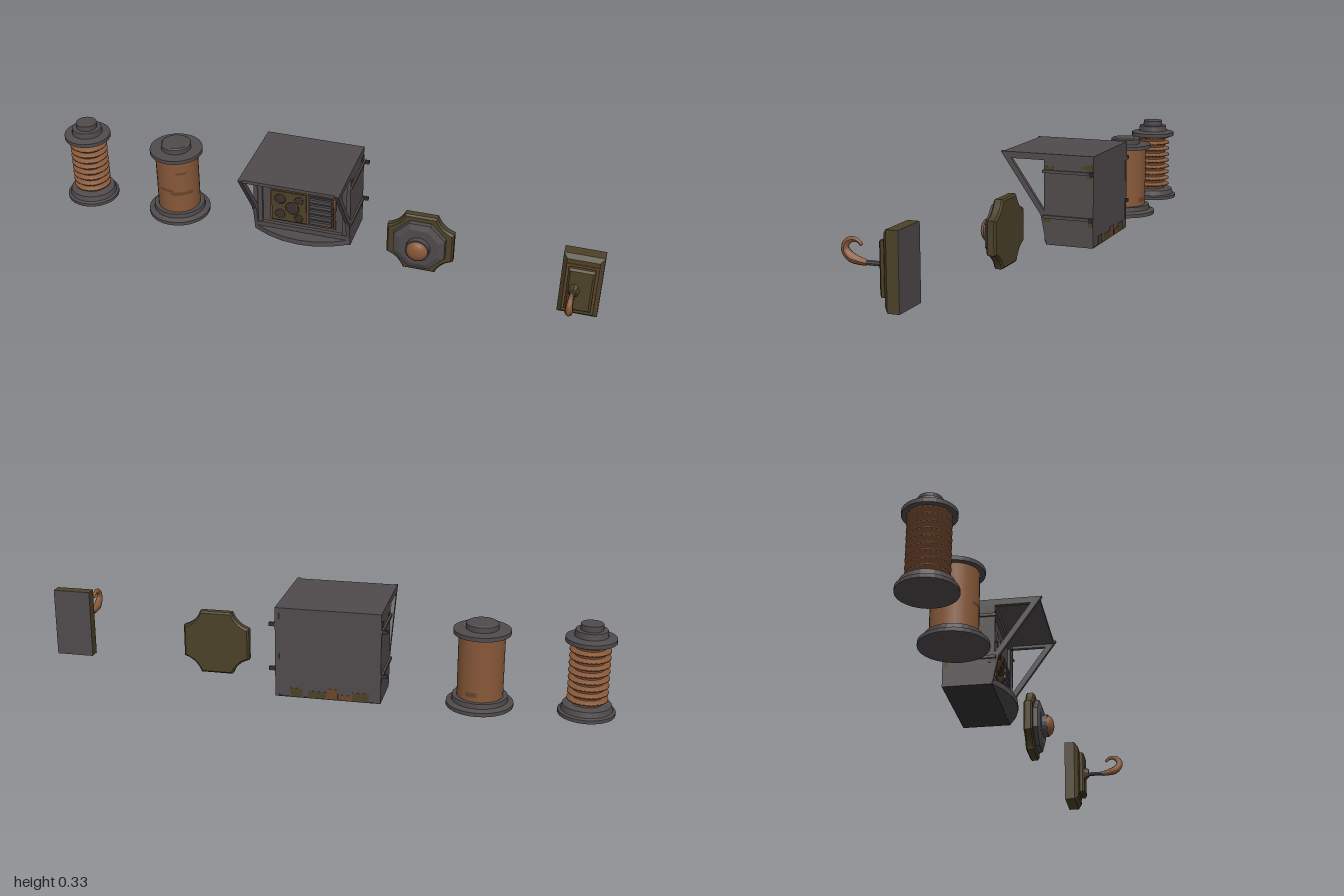
import * as THREE from 'three';

const mat = (name, color, flatShading = false) => {
  const m = new THREE.MeshStandardMaterial({ color, side: THREE.DoubleSide, flatShading });
  m.name = name;
  return m;
};

export function createModel() {
  const grey = mat('weathered steel', 0x504b4c, true);
  const dark = mat('dark steel', 0x363334, true);
  const copper = mat('copper', 0x875839);
  const olive = mat('tarnished brass', 0x4c4229, true);
  const rust = mat('rust', 0x6a4529, true);

  const root = new THREE.Group();
  const group = (name, x = 0, y = 0, z = 0) => {
    const g = new THREE.Group();
    g.name = name;
    g.position.set(x, y, z);
    root.add(g);
    return g;
  };
  const add = (parent, name, geo, m) => {
    const mesh = new THREE.Mesh(geo, m);
    mesh.name = name;
    parent.add(mesh);
    return mesh;
  };
  // box from minimum and maximum corners
  const box = (p, name, m, x0, x1, y0, y1, z0, z1) =>
    add(p, name, new THREE.BoxGeometry(x1 - x0, y1 - y0, z1 - z0)
      .translate((x0 + x1) / 2, (y0 + y1) / 2, (z0 + z1) / 2), m);
  const lathe = (p, name, m, pts, seg = 28) =>
    add(p, name, new THREE.LatheGeometry(pts.map(a => new THREE.Vector2(...a)), seg), m);
  const poly = pts => new THREE.Shape(pts.map(a => new THREE.Vector2(...a)));
  const extrude = (shape, depth, bevel = 0) => new THREE.ExtrudeGeometry(shape, {
    depth: depth - 2 * bevel, bevelEnabled: bevel > 0, bevelThickness: bevel,
    bevelSize: bevel, bevelOffset: -bevel, bevelSegments: 1, curveSegments: 6 }).translate(0, 0, bevel);

  // Ribbed insulator
  const ribbed = group('ribbedInsulator', -0.907, 0, -0.14);
  lathe(ribbed, 'insulatorBase', grey,
    [[0, 0], [0.094, 0], [0.094, 0.012], [0.085, 0.016], [0.08, 0.034], [0.06, 0.038], [0, 0.038]]);
  const ribs = [];
  for (let i = 0; i < 9; i++) {
    const y = 0.038 + i * 0.024;
    ribs.push([0.05, y], [0.05, y + 0.008], [0.067, y + 0.013], [0.067, y + 0.018], [0.05, y + 0.024]);
  }
  lathe(ribbed, 'insulatorRibs', copper, ribs);
  lathe(ribbed, 'insulatorCap', grey,
    [[0, 0.25], [0.083, 0.25], [0.083, 0.264], [0.055, 0.27], [0.052, 0.29], [0.037, 0.291], [0.037, 0.31], [0, 0.31]]);

  // Smooth copper coil
  const coil = group('copperCoil', -0.558, 0, -0.138);
  lathe(coil, 'coilBase', grey,
    [[0, 0], [0.112, 0], [0.112, 0.013], [0.104, 0.016], [0.094, 0.02], [0.092, 0.036], [0, 0.036]]);
  lathe(coil, 'coilBody', copper, [[0.077, 0.034], [0.077, 0.254]]);
  [[0, 1.1, 0.115, 0.014], [-0.55, 0.7, 0.127, 0.012], [0.3, 0.5, 0.2, 0.01], [2.6, 0.5, 0.06, 0.016]]
    .forEach(([a, len, y, h]) => add(coil, 'coilStain',
      new THREE.CylinderGeometry(0.0782, 0.0782, h, 8, 1, true, a, len).translate(0, y, 0), rust));
  lathe(coil, 'coilCap', grey,
    [[0, 0.252], [0.095, 0.252], [0.095, 0.266], [0.054, 0.268], [0.054, 0.286], [0.048, 0.29], [0, 0.29]]);

  // Hooded control cabinet
  const cab = group('controlCabinet');
  const L = -0.243, R = 0.112;
  box(cab, 'cabinetBody', grey, L + 0.002, R - 0.002, 0.018, 0.322, -0.244, -0.085);
  box(cab, 'hoodRoof', grey, L, R, 0.314, 0.326, -0.245, 0.08);
  const side = poly([[-0.088, 0.326], [0.057, 0.117], [0.078, 0.017], [0.245, 0.017], [0.245, 0.326]]);
  side.holes.push(new THREE.Path([[-0.05, 0.304], [0.07, 0.13], [0.07, 0.304]].map(a => new THREE.Vector2(...a))));
  const sideGeo = extrude(side, 0.014).rotateY(Math.PI / 2);
  for (const x of [L, R - 0.014]) add(cab, 'cabinetSide', sideGeo, grey).position.x = x;
  // rounded sill at the bottom front
  const sill = new THREE.Shape();
  sill.moveTo(L, 0.078);
  sill.quadraticCurveTo((L + R) / 2, -0.03, R, 0.078);
  sill.lineTo(R, 0.1);
  sill.lineTo(L, 0.1);
  add(cab, 'roundedSill', extrude(sill, 0.02).rotateX(-Math.PI / 2), grey).position.y = 0.017;
  box(cab, 'cabinetFloor', dark, L, R, 0.0155, 0.0175, -0.245, -0.078);
  // front frame and instruments
  box(cab, 'frontTopRail', grey, L, R, 0.295, 0.315, -0.086, -0.07);
  box(cab, 'frontBottomRail', grey, L, R, 0.03, 0.055, -0.086, -0.072);
  for (const x of [L + 0.012, R - 0.03]) box(cab, 'frontStile', grey, x, x + 0.018, 0.03, 0.3, -0.086, -0.075);
  for (const x of [-0.16, -0.1]) box(cab, 'smallCover', grey, x, x + 0.038, 0.212, 0.25, -0.086, -0.079);
  box(cab, 'instrumentFrame', rust, -0.185, 0.057, 0.068, 0.202, -0.086, -0.08);
  box(cab, 'gaugePanel', olive, -0.178, -0.05, 0.074, 0.196, -0.082, -0.075);
  box(cab, 'ventRecess', dark, -0.044, 0.05, 0.074, 0.196, -0.082, -0.077);
  [[-0.145, 0.168, 0.018], [-0.1, 0.135, 0.023], [-0.145, 0.105, 0.016], [-0.075, 0.172, 0.013], [-0.077, 0.096, 0.013]]
    .forEach(([x, y, r]) => {
      const g = new THREE.CylinderGeometry(r, r, 0.008, 14).rotateX(Math.PI / 2);
      add(cab, 'gauge', g, dark).position.set(x, y, -0.073);
      add(cab, 'gaugeRim', new THREE.TorusGeometry(r, 0.003, 5, 16), rust).position.set(x, y, -0.069);
    });
  for (let i = 0; i < 5; i++) {
    const y = 0.083 + i * 0.023;
    box(cab, 'ventSlat', grey, -0.038, 0.044, y, y + 0.012, -0.08, -0.068);
  }
  // side rails with rear lugs
  for (const y of [0.107, 0.262]) for (const s of [-1, 1]) {
    const x = s < 0 ? L : R;
    const span = w => [Math.min(x, x + s * w), Math.max(x, x + s * w)];
    box(cab, 'sideRail', grey, ...span(0.007), y, y + 0.01, -0.244, -0.066);
    box(cab, 'rearLug', dark, ...span(0.021), y - 0.001, y + 0.011, -0.246, -0.236);
  }
  // rust patches on the sides and back
  for (const x of [L - 0.001, R]) {
    [[0.275, 0.296, -0.244, -0.218], [0.283, 0.29, -0.218, -0.2], [0.273, 0.284, -0.105, -0.071],
      [0.093, 0.106, -0.095, -0.066], [0.085, 0.106, -0.244, -0.226], [0.25, 0.262, -0.244, -0.22]]
      .forEach(([y0, y1, z0, z1]) => box(cab, 'sideStain', olive, x, x + 0.001, y0, y1, z0, z1));
  }
  [[-0.205, -0.15, 0.03, olive], [-0.15, -0.11, 0.018, rust], [-0.1, -0.06, 0.036, rust],
    [-0.06, 0.0, 0.024, olive], [0.02, 0.06, 0.03, olive]]
    .forEach(([x0, x1, h, m]) => box(cab, 'backStain', m, x0, x1, 0.018, 0.018 + h, -0.246, -0.245));

  // Wall boss: notched plate, octagon and dome
  const boss = group('wallBoss', 0.372, 0.114, 0);
  const plate = new THREE.Shape();
  const a = 0.117, b = 0.056, h = 0.113;
  plate.moveTo(a, -b);
  plate.lineTo(a, b);
  plate.quadraticCurveTo(0.074, b + 0.012, b, h);
  plate.lineTo(-b, h);
  plate.quadraticCurveTo(-0.074, b + 0.012, -a, b);
  plate.lineTo(-a, -b);
  plate.quadraticCurveTo(-0.074, -b - 0.012, -b, -h);
  plate.lineTo(b, -h);
  plate.quadraticCurveTo(0.074, -b - 0.012, a, -b);
  add(boss, 'notchedPlate', extrude(plate, 0.033, 0.006), olive).position.z = -0.056;
  const disc = (p, name, m, r0, r1, z0, z1, n, turn = 0) =>
    add(p, name, new THREE.CylinderGeometry(r1, r0, z1 - z0, n, 1, false, turn)
      .rotateX(Math.PI / 2).translate(0, 0, (z0 + z1) / 2), m);
  disc(boss, 'octagonStep', grey, 0.099, 0.097, -0.024, -0.008, 8, Math.PI / 8);
  disc(boss, 'octagonChamfer', grey, 0.097, 0.075, -0.008, 0, 8, Math.PI / 8);
  disc(boss, 'bossNeck', grey, 0.042, 0.042, 0, 0.02, 20);
  add(boss, 'bossDome', new THREE.SphereGeometry(0.038, 20, 6, 0, Math.PI * 2, 0, Math.PI / 2)
    .rotateX(Math.PI / 2).scale(1, 1, 0.55), copper).position.z = 0.02;

  // Hook on a stepped wall plate
  const hook = group('wallHook', 0.93, 0.121, 0);
  const rect = (w, t) => poly([[-w, -t], [w, -t], [w, t], [-w, t]]);
  add(hook, 'backPlate', extrude(rect(0.067, 0.121), 0.052, 0.014), olive).position.z = 0.016;
  box(hook, 'plateFoot', olive, -0.067, 0.067, -0.121, 0.121, 0.017, 0.05);
  box(hook, 'plateRear', grey, -0.067, 0.067, -0.121, 0.121, 0.0155, 0.017);
  box(hook, 'rustBorder', rust, -0.05, 0.05, -0.09, 0.09, 0.066, 0.07);
  add(hook, 'frontPlate', extrude(rect(0.044, 0.084), 0.024, 0.007), olive).position.z = 0.067;
  const mount = new THREE.Group();
  mount.name = 'hookMount';
  mount.position.x = -0.018;
  hook.add(mount);
  disc(mount, 'hookBoss', olive, 0.031, 0.017, 0.088, 0.108, 8).scale.x = 0.65;
  disc(mount, 'hookRod', grey, 0.008, 0.008, 0.1, 0.172, 8).position.y = -0.003;
  // tapered hook: tube rings shrink toward both ends
  const path = new THREE.CatmullRomCurve3([[0.163, 0.117], [0.19, 0.122], [0.216, 0.131], [0.233, 0.153],
    [0.226, 0.174], [0.206, 0.184], [0.186, 0.178], [0.178, 0.167]]
    .map(([z, y]) => new THREE.Vector3(0, y - 0.121, z)));
  const N = 16, S = 8;
  const tube = new THREE.TubeGeometry(path, N, 0.016, S);
  const pos = tube.attributes.position, v = new THREE.Vector3();
  for (let i = 0; i < pos.count; i++) {
    const u = Math.floor(i / (S + 1)) / N, c = path.getPointAt(u);
    const k = u < 0.3 ? 0.6 + u * 1.5 : 1.05 - (u - 0.3) * 1.05;
    v.fromBufferAttribute(pos, i).sub(c).multiplyScalar(k);
    v.x *= 0.85;
    v.add(c);
    pos.setXYZ(i, v.x, v.y, v.z);
  }
  tube.computeVertexNormals();
  add(mount, 'hookCurve', tube, copper);

  return root;
}
